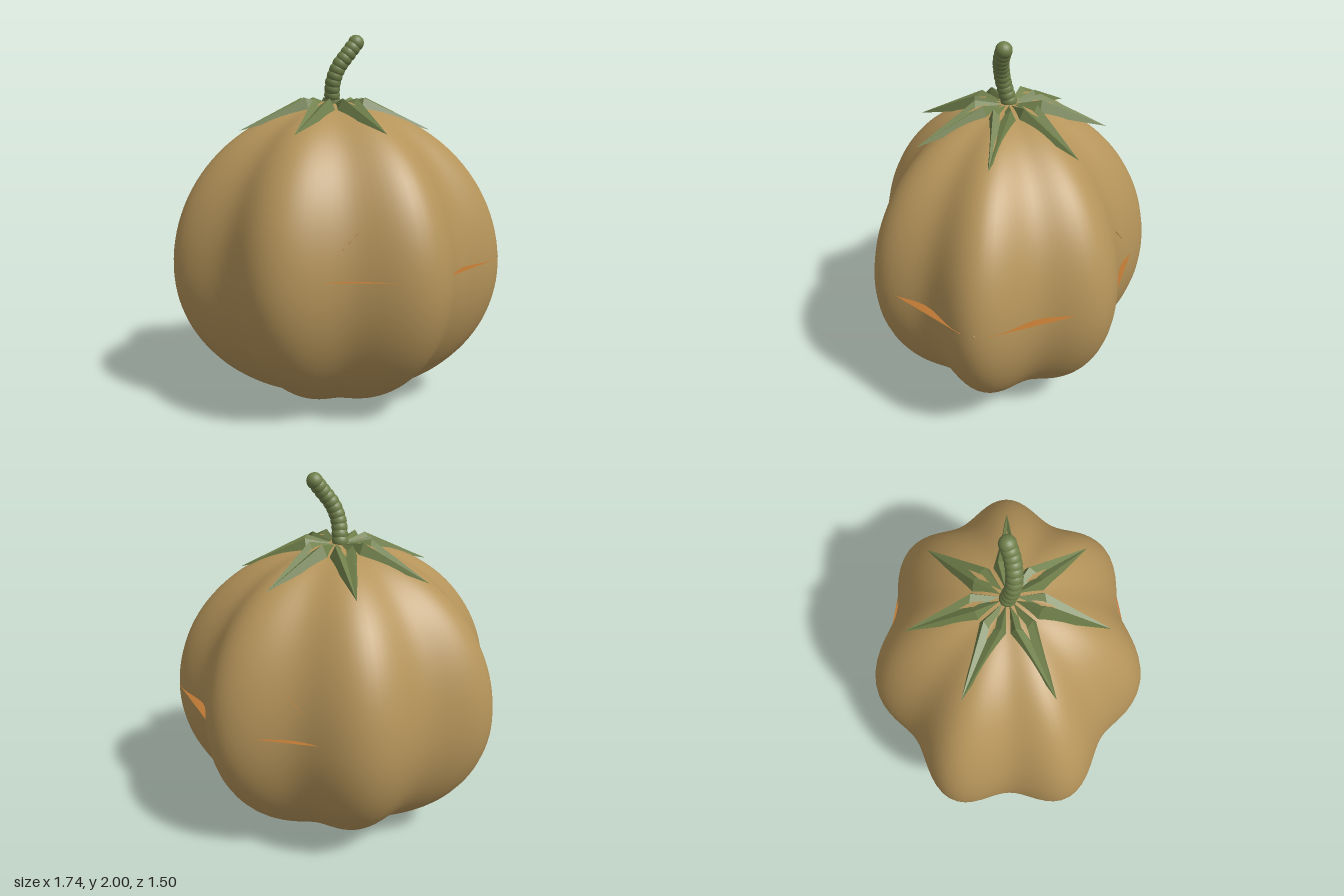
import * as THREE from 'three';
import { mergeVertices } from 'three/addons/utils/BufferGeometryUtils.js';

const CX = -0.03; // axis of the fruit
const material = (name, color, side = THREE.FrontSide) => {
  const m = new THREE.MeshStandardMaterial({ color, side });
  m.name = name;
  return m;
};

function faces(points, index) {
  const g = new THREE.BufferGeometry();
  g.setAttribute('position', new THREE.Float32BufferAttribute(points.flat(), 3));
  g.setIndex(index);
  const flat = g.toNonIndexed();
  flat.computeVertexNormals();
  return flat;
}

// Seven-lobed fruit, wider along x than along z
function bodyGeometry() {
  let g = new THREE.SphereGeometry(1, 112, 56);
  g.deleteAttribute('uv');
  g.deleteAttribute('normal');
  g = mergeVertices(g, 1e-5);
  const p = g.attributes.position;
  for (let i = 0; i < p.count; i++) {
    const x = p.getX(i), y = p.getY(i), z = p.getZ(i);
    const r = 0.715 * (1 + 0.07 * Math.cos(7 * Math.atan2(z, x)));
    p.setXYZ(i, CX + 1.18 * r * x, 0.77 + (y > 0 ? 0.87 : 0.77) * y, r * z);
  }
  g.computeVertexNormals();
  return g;
}

// Folded pointed leaf lying along +x, with a groove down the middle
function sepalGeometry() {
  const pts = [
    [0.0, 1.63, 0], [0.52, 1.5, 0],                          // root, tip
    [0.17, 1.67, 0.045], [0.17, 1.67, -0.045],               // raised ridges
    [0.19, 1.635, 0],                                        // groove
    [0.16, 1.6, 0.075], [0.16, 1.6, -0.075],                 // outer edges
  ];
  return faces(pts, [
    0, 2, 4, 4, 2, 1, 0, 4, 3, 4, 1, 3,
    0, 5, 2, 2, 5, 1, 0, 3, 6, 3, 1, 6,
    0, 6, 5, 5, 6, 1,
  ]);
}

// Cut wall: a flat strip from an outer edge a-b inwards along (dx, dz)
function wallGeometry(a, b, dx, dz) {
  const inner = (q) => [q[0] + dx, q[1], q[2] + dz];
  return faces([a, b, inner(b), inner(a)], [0, 1, 2, 0, 2, 3]);
}

export function createModel() {
  const model = new THREE.Group();
  const skin = material('tan skin', 0xb5945a);
  const flesh = material('orange flesh', 0xba7633, THREE.DoubleSide);
  const green = material('stem green', 0x6f7f4a, THREE.DoubleSide);
  const add = (name, geometry, mat, parent = model) => {
    const m = new THREE.Mesh(geometry, mat);
    m.name = name;
    parent.add(m);
    return m;
  };

  add('body', bodyGeometry(), skin);

  // Crown of seven sepals, each with a narrow slit showing the skin
  const crown = new THREE.Group();
  crown.name = 'crown';
  crown.position.x = CX;
  model.add(crown);
  const sepal = sepalGeometry();
  const slit = faces(
    [[0.11, 1.655, 0], [0.17, 1.645, 0.014], [0.24, 1.631, 0], [0.17, 1.645, -0.014]],
    [0, 1, 2, 0, 2, 3]);
  for (let i = 0; i < 7; i++) {
    const a = (i / 7) * Math.PI * 2;
    add('sepal', sepal, green, crown).rotation.y = a;
    add('sepalSlit', slit, skin, crown).rotation.y = a;
  }

  // Curved stem made of overlapping beads
  const stem = new THREE.Group();
  stem.name = 'stem';
  model.add(stem);
  const path = new THREE.CatmullRomCurve3([
    [-0.04, 1.65, 0], [-0.03, 1.75, 0.025], [0, 1.83, 0.03], [0.05, 1.9, 0.02], [0.09, 1.957, 0],
  ].map((q) => new THREE.Vector3(...q)));
  const bead = new THREE.SphereGeometry(0.043, 20, 14);
  for (let i = 0; i <= 10; i++) {
    add('stemBead', bead, green, stem).position.copy(path.getPointAt(i / 10));
  }

  // Cut walls bridging the grooves, mirrored front to back
  for (const s of [1, -1]) {
    const wall = (name, a, b, dx, dz) =>
      add(name, wallGeometry([a[0], a[1], s * a[2]], [b[0], b[1], s * b[2]], dx, s * dz), flesh);
    wall('sideCutFloor', [-0.03, 0.82, 0.7], [0.45, 0.82, 0.63], -0.03, -0.14);
    wall('sideCutSlope', [-0.03, 0.82, 0.7], [0.3, 1.18, 0.56], -0.03, -0.14);
    wall('faceCutFloor', [0.6, 0.82, 0.5], [0.86, 0.82, 0.07], -0.18, -0.08);
    wall('faceCutTop', [0.45, 1.31, 0.34], [0.51, 1.38, 0.12], -0.1, -0.04);
  }

  // Small nub on the foremost lobe
  const nub = add('nub', new THREE.OctahedronGeometry(0.03), skin);
  nub.position.set(0.86, 0.82, 0);
  nub.scale.x = 0.5;
  return model;
}
